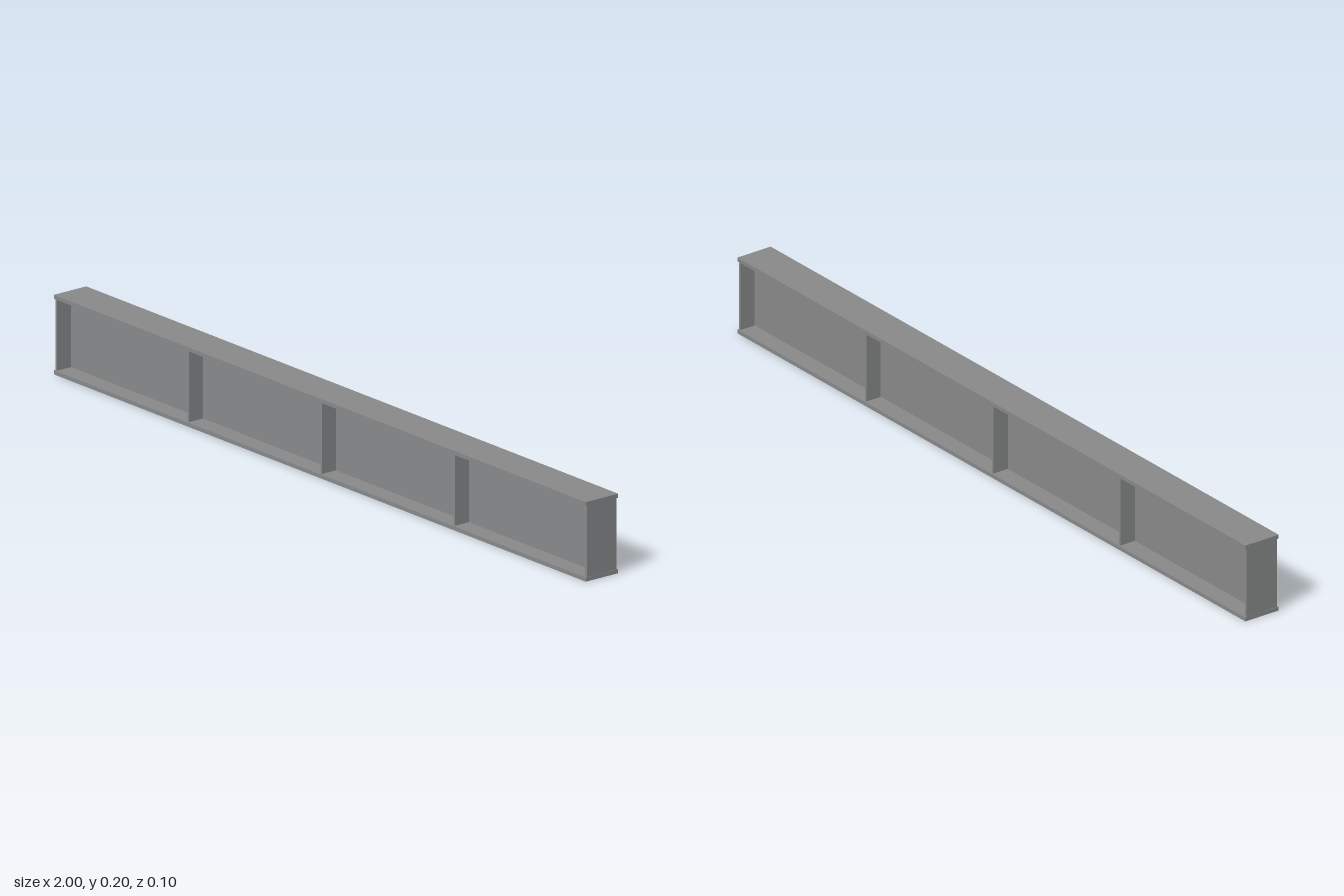
import * as THREE from 'three';

const LENGTH = 2, HEIGHT = 0.2, WIDTH = 0.1;
const FLANGE = 0.01, WEB = 0.006, PLATE = 0.006, PLATE_REACH = 0.046;

export function createModel() {
  const beam = new THREE.Group();
  beam.name = 'plateGirder';
  const steel = new THREE.MeshStandardMaterial({ color: 0x88898a });
  steel.name = 'steel grey';

  const addBox = (name, w, h, d, x, y, z) => {
    const mesh = new THREE.Mesh(new THREE.BoxGeometry(w, h, d), steel);
    mesh.name = name;
    mesh.position.set(x, y, z);
    beam.add(mesh);
  };

  // Flanges and the upright web between them
  const clear = HEIGHT - 2 * FLANGE;
  addBox('bottomFlange', LENGTH, FLANGE, WIDTH, 0, FLANGE / 2, 0);
  addBox('topFlange', LENGTH, FLANGE, WIDTH, 0, HEIGHT - FLANGE / 2, 0);
  addBox('web', LENGTH, clear, WEB, 0, HEIGHT / 2, 0);

  // Stiffener plates on both sides of the web
  const depth = PLATE_REACH - WEB / 2;
  for (const x of [-0.996, -0.5, 0, 0.5, 0.996]) {
    for (const side of [1, -1]) {
      addBox(side > 0 ? 'frontStiffener' : 'backStiffener', PLATE, clear, depth,
        x, HEIGHT / 2, side * (WEB / 2 + depth / 2));
    }
  }
  return beam;
}
